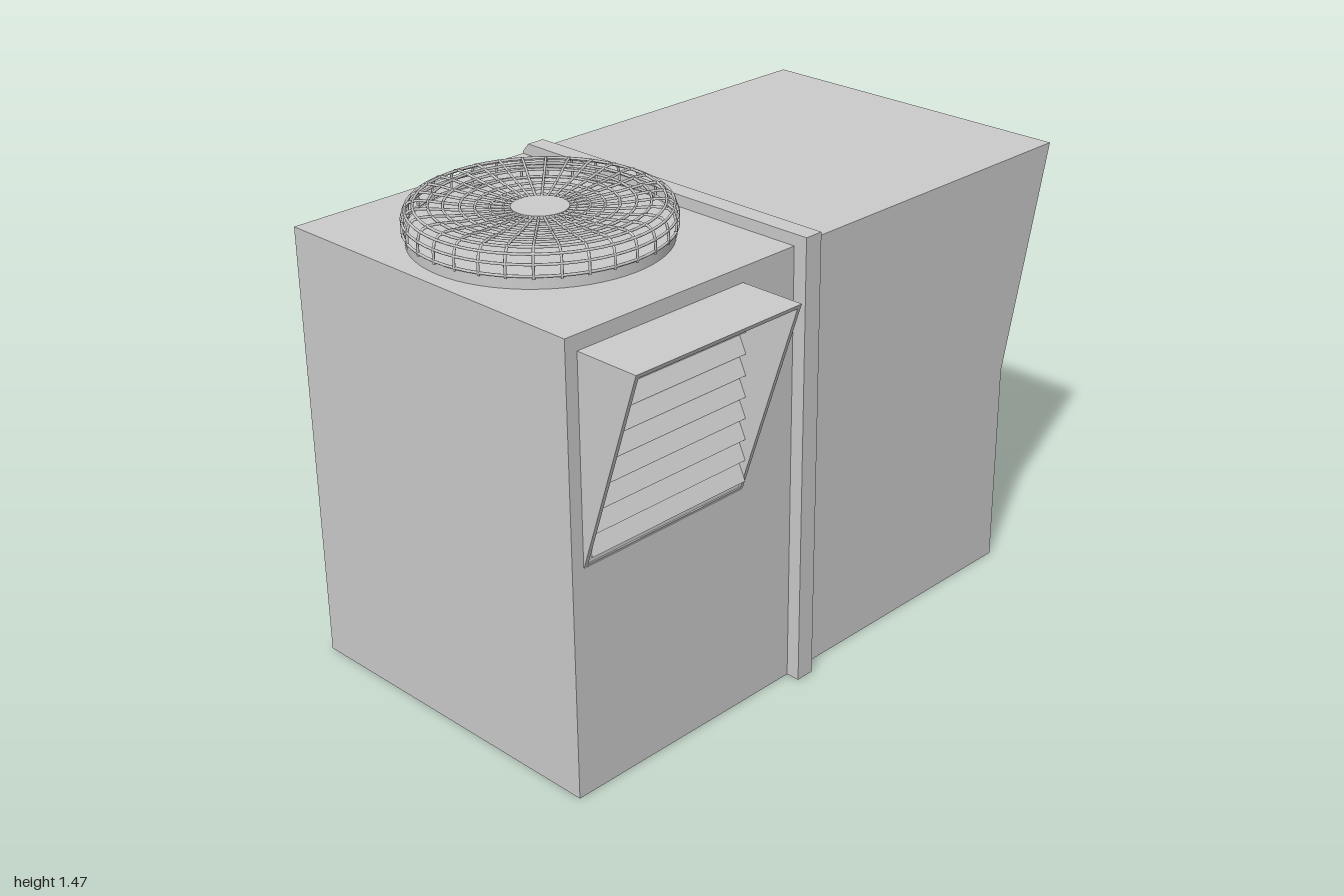
import * as THREE from 'three';

const material = new THREE.MeshStandardMaterial({ color: 0xcccccc });
const V2 = (x, y) => new THREE.Vector2(x, y);

function add(parent, name, geometry, x = 0, y = 0, z = 0) {
  const mesh = new THREE.Mesh(geometry, material);
  mesh.name = name;
  mesh.position.set(x, y, z);
  parent.add(mesh);
  return mesh;
}

function group(parent, name) {
  const g = new THREE.Group();
  g.name = name;
  parent.add(g);
  return g;
}

const extrude = (shape, depth) =>
  new THREE.ExtrudeGeometry(shape, { depth, bevelEnabled: false, curveSegments: 3 });

// Extrude a (z, y) outline sideways from x0 to x1
function addSideways(parent, name, points, x0, x1) {
  const geometry = extrude(new THREE.Shape(points.map(p => V2(...p))), x1 - x0).rotateY(-Math.PI / 2);
  return add(parent, name, geometry, x1);
}

function rectPath(x0, y0, x1, y1) {
  return new THREE.Path([V2(x0, y0), V2(x0, y1), V2(x1, y1), V2(x1, y0)]);
}

function roundedPath(x0, y0, x1, y1, r) {
  const p = new THREE.Path();
  p.moveTo(x0 + r, y0);
  p.lineTo(x1 - r, y0);
  p.quadraticCurveTo(x1, y0, x1, y0 + r);
  p.lineTo(x1, y1 - r);
  p.quadraticCurveTo(x1, y1, x1 - r, y1);
  p.lineTo(x0 + r, y1);
  p.quadraticCurveTo(x0, y1, x0, y1 - r);
  p.lineTo(x0, y0 + r);
  p.quadraticCurveTo(x0, y0, x0 + r, y0);
  return p;
}

const TOP = 1.355, FRONT = 0.44, BACK = -0.645;
const KNEE = 0.655, LOW_X = 0.82;
const slantX = y => LOW_X + (y - KNEE) * (1 - LOW_X) / (TOP - KNEE);

// Cabinet in slices along z, so the intake and rear recesses are true pockets
function buildCabinet(root) {
  const g = group(root, 'cabinet');
  const depth = 0.06, y0 = 0.67, y1 = 1.34;
  const slices = [
    [BACK, -0.63, false, true],
    [-0.63, -0.595, true, true],
    [-0.595, 0.43, true, false],
    [0.43, FRONT, false, false],
  ];
  for (const [z0, z1, notched, pocket] of slices) {
    const points = [V2(-1, 0), V2(LOW_X, 0), V2(LOW_X, KNEE)];
    if (notched) points.push(
      V2(slantX(y0), y0), V2(slantX(y0) - depth, y0),
      V2(slantX(y1) - depth, y1), V2(slantX(y1), y1));
    points.push(V2(1, TOP), V2(-1, TOP));
    const shape = new THREE.Shape(points);
    if (pocket) shape.holes.push(rectPath(-0.9, 0.105, 0.02, 0.55));
    add(g, 'cabinetSection', extrude(shape, z1 - z0), 0, 0, z0);
  }
}

// Sloping intake mesh: one plate with rounded openings
function buildIntake(root) {
  const w = 1.06, h = 0.685, n = 8, bar = 0.01, thick = 0.018;
  const shape = new THREE.Shape([
    V2(-w / 2, -h / 2), V2(w / 2, -h / 2), V2(w / 2, h / 2), V2(-w / 2, h / 2)]);
  for (let i = 0; i < n; i++) {
    for (let j = 0; j < n; j++) {
      const x = -w / 2 + i * w / n, y = -h / 2 + j * h / n;
      shape.holes.push(roundedPath(
        x + (i ? bar : 0.003), y + (j ? bar : 0.003),
        x + w / n - (i < n - 1 ? bar : 0.003), y + h / n - (j < n - 1 ? bar : 0.003), 0.012));
    }
  }
  const g = group(root, 'intakeGrille');
  g.position.set(slantX(1.005) - 0.035, 1.005, -0.1);
  g.rotation.z = -Math.atan2(1 - LOW_X, TOP - KNEE);
  add(g, 'intakeMesh', extrude(shape, thick)).rotation.y = Math.PI / 2;
}

// Wedge hood open on its sloping face, with louvre slats inside
function buildHood(root) {
  const g = group(root, 'ventHood');
  const x0 = -0.96, x1 = -0.365, y0 = 0.695, y1 = 1.31, t = 0.012;
  const cx = (x0 + x1) / 2, w = x1 - x0;
  const side = [[FRONT, y0], [0.645, y1], [FRONT, y1]];
  addSideways(g, 'hoodSide', side, x0, x0 + t);
  addSideways(g, 'hoodSide', side, x1 - t, x1);
  addSideways(g, 'hoodRoof', [[FRONT, y1 - t], [0.641, y1 - t], [0.645, y1], [FRONT, y1]], x0 + t, x1 - t);
  addSideways(g, 'hoodSill', [[FRONT, y0], [0.445, y0 + t], [FRONT, y0 + t]], x0 + t, x1 - t);
  for (let i = 0; i < 9; i++) {
    const slat = add(g, 'louvreSlat', new THREE.BoxGeometry(w - 2 * t, 0.072, 0.006),
      cx, 0.765 + i * 0.0635, 0.444);
    slat.rotation.x = -0.45;
  }
}

// Raised joint strip up the front and over the roof
function buildStrip(root) {
  addSideways(root, 'jointStrip', [
    [FRONT, 0], [0.483, 0], [0.483, 1.39], [-0.62, 1.39],
    [BACK, 1.36], [BACK, TOP], [FRONT, TOP]], -0.165, -0.105);
}

// Roof fan: round curb with a wire cage
function buildFan(root) {
  const g = group(root, 'roofFan');
  g.position.set(-0.585, 0, -0.1);
  add(g, 'fanCurb', new THREE.CylinderGeometry(0.365, 0.365, 0.035, 64), 0, 1.3725, 0);
  add(g, 'cageHub', new THREE.CylinderGeometry(0.08, 0.08, 0.01, 32), 0, 1.44, 0);

  const rings = [
    [0.371, 1.393], [0.371, 1.425], [0.362, 1.45], [0.34, 1.461], [0.3, 1.459],
    [0.26, 1.455], [0.215, 1.45], [0.175, 1.446], [0.135, 1.443], [0.1, 1.44]];
  for (const [r, y] of rings) {
    add(g, 'cageRing', new THREE.TorusGeometry(r, 0.004, 6, 64).rotateX(Math.PI / 2), 0, y, 0);
  }

  const path = new THREE.CatmullRomCurve3([
    [0.371, 1.385], [0.371, 1.425], [0.362, 1.45], [0.34, 1.461], [0.215, 1.45], [0.075, 1.44],
  ].map(([r, y]) => new THREE.Vector3(r, y, 0)));
  const wire = new THREE.TubeGeometry(path, 18, 0.004, 6);
  const count = 32;
  for (let i = 0; i < count; i++) {
    add(g, 'cageWire', wire).rotation.y = i * 2 * Math.PI / count;
  }
}

export function createModel() {
  const root = new THREE.Group();
  root.name = 'rooftopAirUnit';
  buildCabinet(root);
  buildIntake(root);
  buildHood(root);
  buildStrip(root);
  buildFan(root);
  return root;
}
